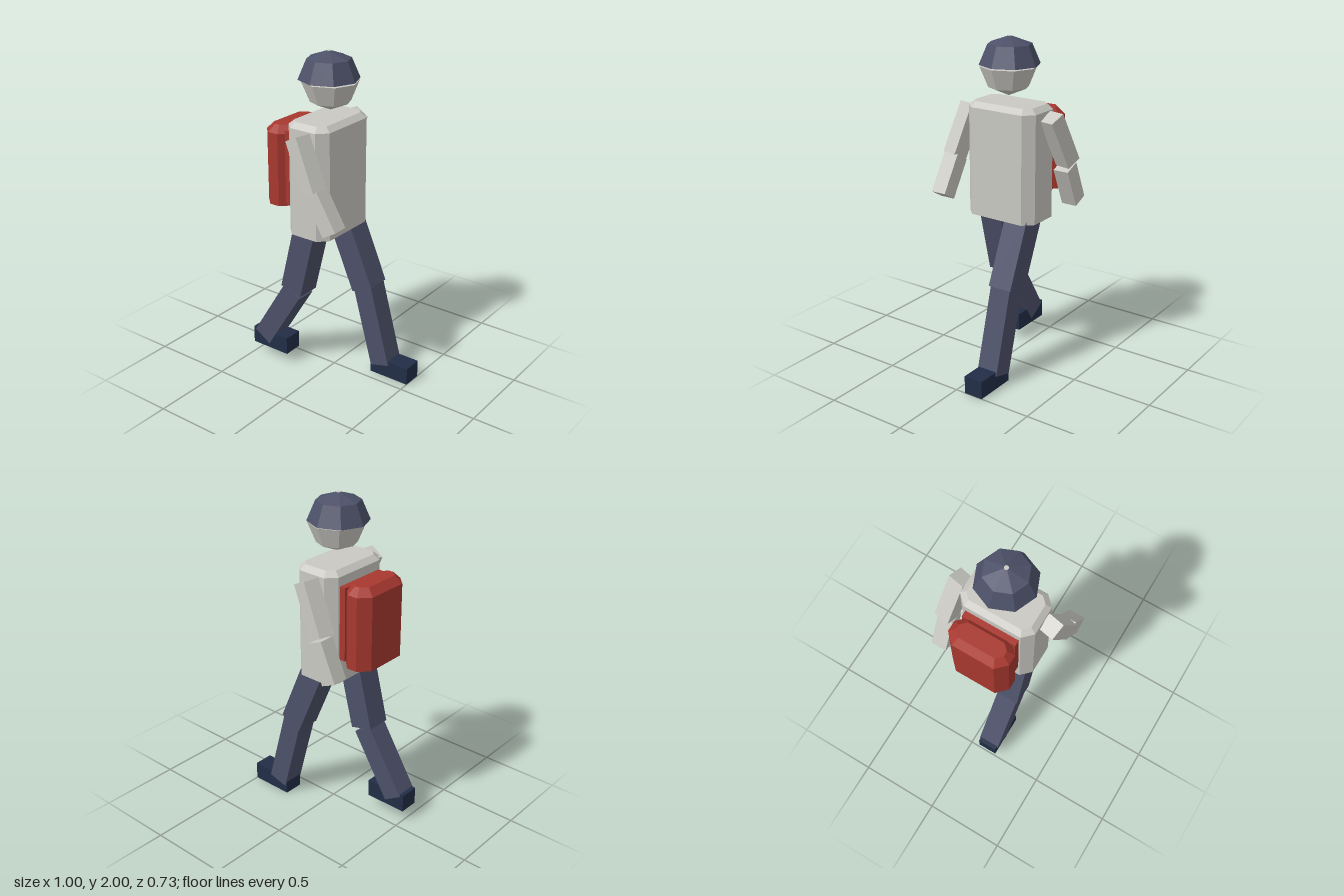
import * as THREE from 'three';
import { ConvexGeometry } from 'three/addons/geometries/ConvexGeometry.js';

const material = (name, color, extra = {}) => {
  const m = new THREE.MeshStandardMaterial({ color, flatShading: true, ...extra });
  m.name = name;
  return m;
};

export function createModel() {
  const model = new THREE.Group();
  model.name = 'walkingHiker';
  const grey = material('pale grey', 0xcac9c3);
  const navy = material('slate blue', 0x4d5169, { side: THREE.DoubleSide });
  const red = material('pack red', 0xa8382f);
  const dark = material('shoe navy', 0x222e47);

  const add = (name, geometry, mat, x = 0, y = 0, z = 0) => {
    const mesh = new THREE.Mesh(geometry, mat);
    mesh.name = name;
    mesh.position.set(x, y, z);
    model.add(mesh);
    return mesh;
  };

  // Upright block with chamfered corners and a bevelled top
  const chamferBlock = (x0, x1, y0, y1, halfZ, corner, inset, drop) => {
    const points = [];
    const ring = (y, s) => {
      const cx = (x0 + x1) / 2, hx = (x1 - x0) / 2 - s, hz = halfZ - s;
      const c = corner - s * 0.586;
      for (const i of [-1, 1]) for (const k of [-1, 1]) {
        points.push(new THREE.Vector3(cx + i * hx, y, k * (hz - c)));
        points.push(new THREE.Vector3(cx + i * (hx - c), y, k * hz));
      }
    };
    ring(y0, 0);
    ring(y1 - drop, 0);
    ring(y1, inset);
    return new ConvexGeometry(points);
  };

  // Box running from a to b, its depth axis kept level
  const limb = (name, a, b, width, depth, mat) => {
    const start = new THREE.Vector3(...a), end = new THREE.Vector3(...b);
    const along = end.clone().sub(start);
    const length = along.length();
    along.normalize();
    const side = new THREE.Vector3(-along.z, 0, along.x).normalize();
    const across = along.clone().cross(side);
    const mid = start.add(end).multiplyScalar(0.5);
    const mesh = add(name, new THREE.BoxGeometry(width, length, depth), mat, mid.x, mid.y, mid.z);
    mesh.quaternion.setFromRotationMatrix(new THREE.Matrix4().makeBasis(across, along, side));
  };

  // Torso
  add('torso', chamferBlock(-0.19, 0.1, 0.94, 1.62, 0.233, 0.057, 0.033, 0.03), grey);

  // Backpack and its back pad
  add('backpack', chamferBlock(-0.39, -0.205, 1.07, 1.558, 0.19, 0.06, 0.042, 0.043), red);
  add('backpackPad', new THREE.BoxGeometry(0.045, 0.445, 0.333), red, -0.205, 1.313, 0);

  // Head: faceted bowl closed at the brow
  const v2 = (x, y) => new THREE.Vector2(x, y);
  add('head', new THREE.LatheGeometry(
    [v2(0, 1.66), v2(0.118, 1.711), v2(0.167, 1.83), v2(0, 1.835)], 8), grey, -0.026);

  // Cap: faceted dome with a small button
  add('cap', new THREE.LatheGeometry(
    [v2(0.178, 1.838), v2(0.128, 1.955), v2(0.012, 1.997)], 8), navy, -0.036);
  add('capButton', new THREE.CylinderGeometry(0.013, 0.013, 0.006, 8), grey, -0.036, 1.997, 0);

  // Arms
  limb('leftUpperArm', [-0.045, 1.565, 0.278], [0.093, 1.278, 0.306], 0.1, 0.1, grey);
  limb('leftForearm', [0.093, 1.28, 0.298], [0.221, 1.068, 0.298], 0.1, 0.097, grey);
  limb('rightUpperArm', [-0.045, 1.565, -0.278], [-0.185, 1.278, -0.306], 0.1, 0.1, grey);
  limb('rightForearm', [-0.165, 1.255, -0.3], [-0.265, 1.025, -0.3], 0.1, 0.097, grey);

  // Legs
  limb('leftThigh', [-0.06, 1.02, 0.123], [-0.18, 0.538, 0.123], 0.15, 0.152, navy);
  limb('leftShin', [-0.182, 0.527, 0.123], [-0.425, 0.135, 0.123], 0.13, 0.135, navy);
  limb('rightThigh', [-0.03, 1.02, -0.123], [0.171, 0.553, -0.123], 0.15, 0.152, navy);
  limb('rightShin', [0.168, 0.565, -0.123], [0.304, 0.069, -0.123], 0.13, 0.135, navy);

  // Shoes
  const shoe = new THREE.BoxGeometry(0.267, 0.11, 0.121);
  add('leftShoe', shoe, dark, -0.367, 0.124, 0.123);
  add('rightShoe', shoe, dark, 0.367, 0.055, -0.123);

  return model;
}
